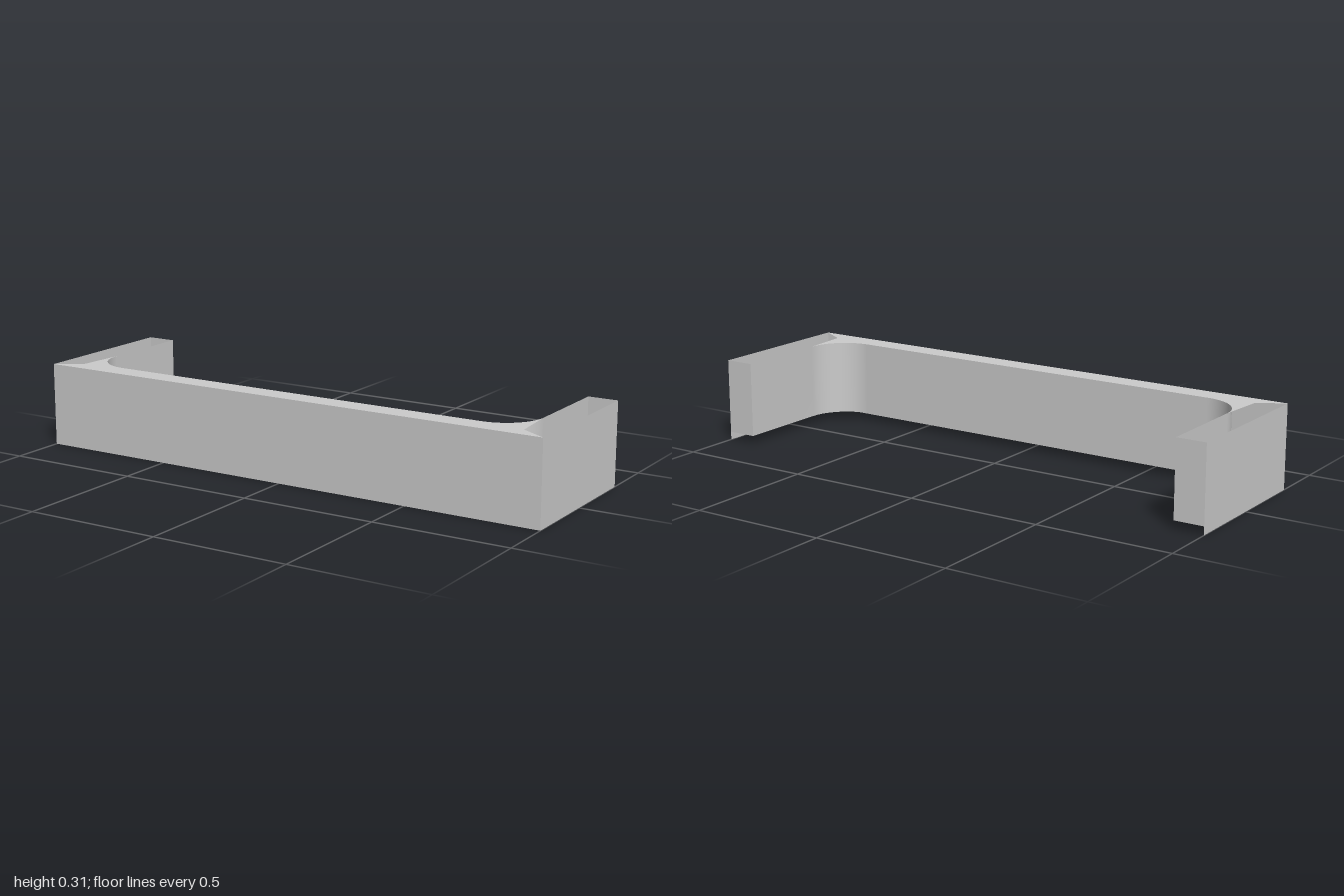
import * as THREE from 'three';

const W = 1, D = 0.293, H = 0.306; // half width, half depth, height
const X = 0.89, Z = 0.21, R = 0.15; // inner face of arms, inner face of front, corner radius
const LIP = 0.03; // inner faces stop short of the floor
const material = new THREE.MeshStandardMaterial({ color: 0xcccccc, side: THREE.DoubleSide });

// Upright ribbon along a list of [x, z] points
function wall(name, points, bottom) {
  const positions = [], index = [];
  points.forEach(([x, z], i) => {
    positions.push(x, bottom, z, x, H, z);
    if (i) {
      const a = 2 * i - 2;
      index.push(a, a + 2, a + 3, a, a + 3, a + 1);
    }
  });
  const geometry = new THREE.BufferGeometry();
  geometry.setAttribute('position', new THREE.Float32BufferAttribute(positions, 3));
  geometry.setIndex(index);
  geometry.computeVertexNormals();
  const mesh = new THREE.Mesh(geometry, material);
  mesh.name = name;
  return mesh;
}

// Rounded inner corners, running from the +x arm to the -x arm
function innerCurve() {
  const points = [];
  for (const side of [1, -1]) {
    for (let i = 0; i <= 20; i++) {
      const t = (side > 0 ? i : 20 - i) / 20 * Math.PI / 2;
      points.push([side * (X - R + R * Math.cos(t)), Z - R + R * Math.sin(t)]);
    }
  }
  return points;
}

export function createModel() {
  const group = new THREE.Group();
  const curve = innerCurve();

  // Outer shell and arm ends
  group.add(
    wall('frontPanel', [[-W, D], [W, D]], 0),
    wall('leftOuterSide', [[W, D], [W, -D]], 0),
    wall('rightOuterSide', [[-W, -D], [-W, D]], 0),
    wall('leftArmEnd', [[W, -D], [X, -D]], LIP),
    wall('rightArmEnd', [[-X, -D], [-W, -D]], LIP),
    wall('innerWall', [[X, -D], ...curve, [-X, -D]], LIP)
  );

  // Top ledge, leaving the arms open above and the whole underside open
  const outline = [[-W, D], [W, D], [0.905, 0.235], ...curve, [-0.905, 0.235]];
  const shape = new THREE.Shape(outline.map(([x, z]) => new THREE.Vector2(x, -z)));
  const ledge = new THREE.Mesh(new THREE.ShapeGeometry(shape), material);
  ledge.name = 'topLedge';
  ledge.rotation.x = -Math.PI / 2;
  ledge.position.y = H;
  group.add(ledge);

  return group;
}
